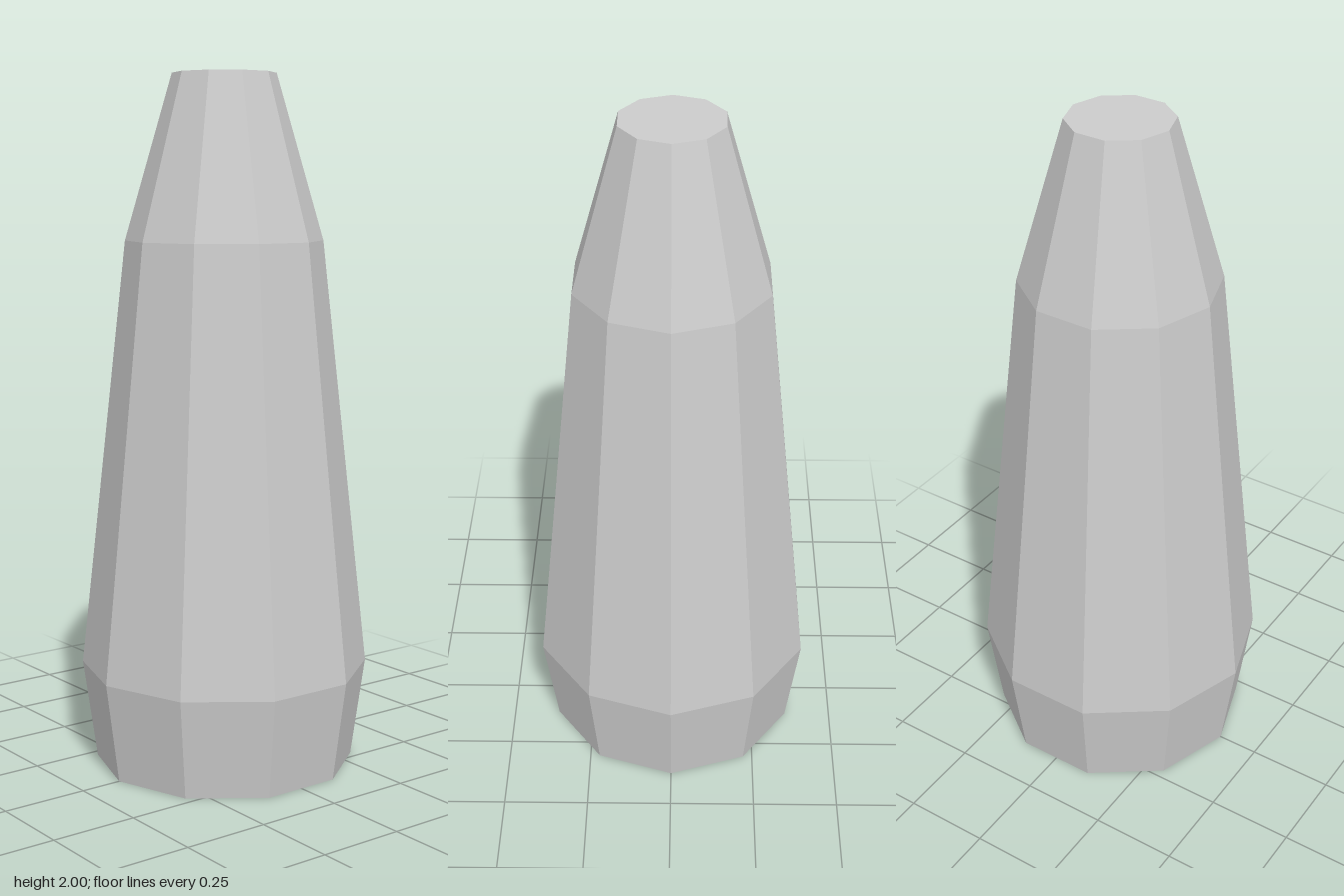
import * as THREE from 'three';

export function createModel() {
  const group = new THREE.Group();
  const material = new THREE.MeshStandardMaterial({ color: 0xcccccc, flatShading: true });

  // Closed profile: recess ceiling, recess wall, bottom rim, outer shell, flat tip
  const profile = [
    [0, 0.155], [0.27, 0.155], [0.27, 0],
    [0.378, 0], [0.419, 0.29], [0.284, 1.53], [0.148, 2], [0, 2],
  ].map(([r, y]) => new THREE.Vector2(r, y));

  // Ten-sided body with a corner on the x axis
  const body = new THREE.Mesh(new THREE.LatheGeometry(profile, 10, Math.PI / 2), material);
  body.name = 'taperedBody';
  group.add(body);
  return group;
}
